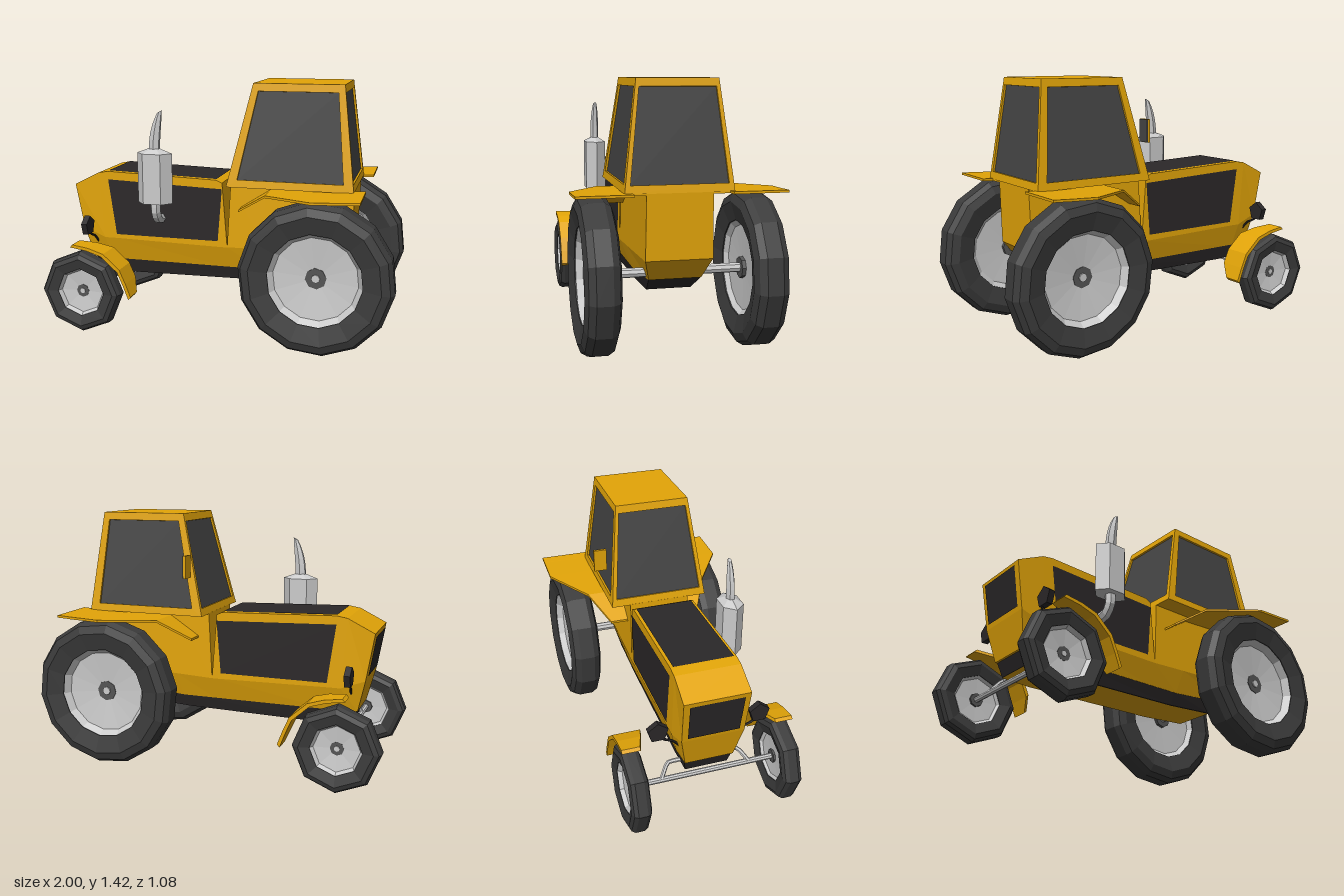
import * as THREE from 'three';

const mat = (color) => new THREE.MeshStandardMaterial({ color, flatShading: true });
const yellow = mat(0xe3a508), black = mat(0x2b2829), glass = mat(0x454545);
const rubber = mat(0x3b3b3b), grey = mat(0xcccccc), hubGrey = mat(0x555555);
const V = (x, y, z) => new THREE.Vector3(x, y, z);

function add(parent, name, geometry, material, x = 0, y = 0, z = 0) {
  const mesh = new THREE.Mesh(geometry, material);
  mesh.name = name;
  mesh.position.set(x, y, z);
  parent.add(mesh);
  return mesh;
}

// Flat-faced geometry from polygons listed counter-clockwise
function polygons(faces) {
  const points = [];
  for (const f of faces) {
    for (let i = 1; i < f.length - 1; i++) points.push(f[0], f[i], f[i + 1]);
  }
  const g = new THREE.BufferGeometry().setFromPoints(points);
  g.computeVertexNormals();
  return g;
}

// Skin over rings that follow +x, each ring counter-clockwise seen from +x
function loft(rings) {
  const faces = [], first = rings[0], last = rings[rings.length - 1], n = first.length;
  for (let i = 0; i < n / 2 - 1; i++) {
    faces.push([first[n - 1 - i], first[n - 2 - i], first[i + 1], first[i]]);
    faces.push([last[i], last[i + 1], last[n - 2 - i], last[n - 1 - i]]);
  }
  for (let k = 0; k < rings.length - 1; k++) {
    const a = rings[k], b = rings[k + 1];
    a.forEach((p, i) => {
      const j = (i + 1) % n;
      faces.push([p, a[j], b[j], b[i]]);
    });
  }
  return polygons(faces);
}

// Symmetric ring from the [x, y, z] points of its +z half, top to bottom
const mirrored = (half) => [
  ...half.map((p) => V(...p)),
  ...[...half].reverse().map(([x, y, z]) => V(x, y, -z)),
];

// Smaller quad within a quad (corners: bottom left, bottom right, top right, top left)
function inset([a, b, c, d], u, v) {
  const at = (s, t) => a.clone().lerp(b, s).lerp(d.clone().lerp(c, s), t);
  return [at(u, v), at(1 - u, v), at(1 - u, 1 - v), at(u, 1 - v)];
}

const tube = (pts, r, sides = 6) => new THREE.TubeGeometry(
  new THREE.CatmullRomCurve3(pts.map((p) => V(...p)), false, 'catmullrom', 0.2), 8, r, sides);

const lathe = (pts, sides) => new THREE.LatheGeometry(
  pts.map(([r, y]) => new THREE.Vector2(r, y)), sides).rotateX(Math.PI / 2);

// Wheel with its outer face, a deeply recessed disc, towards +z
function makeWheel(name, R, rim, w, nub, sides) {
  const wheel = new THREE.Group();
  wheel.name = name;
  const wall = rim + (R - rim) * 0.6, shoulder = R - (R - rim) * 0.13;
  add(wheel, 'tyre', lathe([
    [rim, -w * 0.72], [wall, -w], [shoulder, -w * 0.82], [R, -w * 0.45], [R, w * 0.45],
    [shoulder, w * 0.82], [wall, w], [rim, w * 0.72], [rim, -w * 0.72],
  ], sides), rubber);
  add(wheel, 'rim', lathe([
    [0, -w * 0.3], [rim * 0.9, -w * 0.4], [rim, -w * 0.65],
    [rim, w * 0.65], [rim * 0.9, w * 0.25], [0, 0],
  ], sides), grey);
  const disc = (r, z0, z1) => new THREE.CylinderGeometry(r, r, z1 - z0, 8)
    .rotateX(Math.PI / 2).translate(0, 0, (z0 + z1) / 2);
  add(wheel, 'hub', disc(nub, -w * 0.55, w * 0.1), hubGrey);
  add(wheel, 'hubCap', disc(nub * 0.4, -w * 0.65, w * 0.18), grey);
  return wheel;
}

function makeCab() {
  const cab = new THREE.Group();
  cab.name = 'cab';
  const rect = (x0, x1, y, z) => [V(x0, y, z), V(x1, y, z), V(x1, y, -z), V(x0, y, -z)];
  const base = rect(0.05, 0.75, 0.865, 0.283), roof = rect(0.185, 0.68, 1.43, 0.212);
  const frame = [roof, [...base].reverse()], panes = [];
  for (let i = 0; i < 4; i++) {
    const j = (i + 1) % 4;
    const outer = [base[i], base[j], roof[j], roof[i]];
    const hole = inset(outer, i % 2 ? 0.045 : 0.075, 0.075);
    const normal = outer[1].clone().sub(outer[0]).cross(outer[3].clone().sub(outer[0])).normalize();
    const pane = hole.map((p) => p.clone().addScaledVector(normal, -0.012));
    for (let k = 0; k < 4; k++) {
      const m = (k + 1) % 4;
      frame.push([outer[k], outer[m], hole[m], hole[k]], [hole[k], hole[m], pane[m], pane[k]]);
    }
    panes.push(pane);
  }
  add(cab, 'cabFrame', polygons(frame), yellow);
  add(cab, 'windows', polygons(panes), glass);
  return cab;
}

// Exhaust stack that narrows and bends backwards towards its tip
function makeStack() {
  const height = 0.225, g = new THREE.CylinderGeometry(1, 1, height, 6, 6);
  const p = g.attributes.position;
  for (let i = 0; i < p.count; i++) {
    const t = p.getY(i) / height + 0.5, r = 0.033 - 0.019 * t ** 3;
    p.setXYZ(i, p.getX(i) * r + 0.034 * t * t, p.getY(i) + p.getX(i) * 0.008 * t, p.getZ(i) * r * 0.75);
  }
  return g;
}

// Bent sheet from [x, y, inner z, outer z] stations
const sheet = (stations, dx, dy) => loft(stations.map(([x, y, zi, zo]) => [
  V(x, y, zo), V(x - dx, y - dy, zo), V(x - dx, y - dy, zi), V(x, y, zi),
]));

export function createModel() {
  const model = new THREE.Group();
  model.name = 'tractor';
  const body = new THREE.Group();
  body.name = 'body';
  body.position.z = 0.007;
  model.add(body);

  // Hood and rear body
  add(body, 'hood', loft([
    [[-0.9, 0.815, 0.18], [-0.855, 0.55, 0.172], [-0.81, 0.365, 0.135]],
    [[-0.75, 0.89, 0.18], [-0.72, 0.5, 0.18], [-0.7, 0.365, 0.145]],
    [[-0.69, 0.9, 0.18], [-0.65, 0.5, 0.18], [-0.63, 0.365, 0.145]],
    [[-0.035, 0.88, 0.18], [-0.01, 0.49, 0.18], [0, 0.365, 0.145]],
    [[0, 0.865, 0.18], [0.03, 0.49, 0.18], [0.03, 0.365, 0.145]],
  ].map(mirrored)), yellow);
  add(body, 'rearBody', loft([
    [[0.05, 0.868, 0.175], [0.03, 0.49, 0.18], [0.03, 0.365, 0.145]],
    [[0.25, 0.868, 0.175], [0.25, 0.5, 0.18], [0.22, 0.365, 0.145]],
    [[0.745, 0.868, 0.172], [0.735, 0.52, 0.176], [0.64, 0.4, 0.14]],
  ].map(mirrored)), yellow);
  add(body, 'chassis', loft([
    [[-0.8, 0.37, 0.135], [-0.77, 0.287, 0.12]],
    [[-0.6, 0.37, 0.145], [-0.6, 0.28, 0.122]],
    [[0.2, 0.37, 0.145], [0.2, 0.293, 0.122]],
    [[0.638, 0.402, 0.14], [0.5, 0.312, 0.122]],
  ].map(mirrored)), black);

  // Belly plate under the chassis
  const belly = [[-0.77, 0.285], [-0.6, 0.277], [0.2, 0.29], [0.5, 0.309]];
  add(body, 'bellyPlate', polygons(belly.slice(1).map(([x, y], i) => {
    const [x0, y0] = belly[i];
    return [V(x0, y0, 0.122), V(x0, y0, -0.122), V(x, y, -0.122), V(x, y, 0.122)];
  })), yellow);

  // Black panels on the hood
  const side = [V(-0.645, 0.525, 0.184), V(-0.025, 0.525, 0.184), V(0, 0.83, 0.184), V(-0.69, 0.853, 0.184)];
  const otherSide = side.map((p) => V(p.x, p.y, -p.z)).reverse();
  const top = [V(-0.69, 0.904, 0.165), V(-0.035, 0.884, 0.165), V(-0.035, 0.884, -0.165), V(-0.69, 0.904, -0.165)];
  const nose = [V(-0.86, 0.55, -0.172), V(-0.86, 0.55, 0.172), V(-0.905, 0.815, 0.18), V(-0.905, 0.815, -0.18)];
  add(body, 'hoodPanels', polygons([side, otherSide, top, inset(nose, 0.09, 0.08)]), black);

  body.add(makeCab());

  // Side mirror
  add(body, 'mirrorBack', new THREE.BoxGeometry(0.014, 0.125, 0.072), yellow, 0.116, 1.147, -0.329);
  add(body, 'mirrorGlass', new THREE.BoxGeometry(0.006, 0.122, 0.07), glass, 0.125, 1.147, -0.329);

  // Exhaust
  const ex = -0.367, ez = 0.268;
  const muffler = (rt, rb, h) => new THREE.CylinderGeometry(rt, rb, h, 6, 1, false, Math.PI / 2).scale(1, 1, 0.66);
  add(body, 'muffler', muffler(0.103, 0.103, 0.285), grey, ex, 0.893, ez);
  add(body, 'mufflerTop', muffler(0.035, 0.103, 0.025), grey, ex, 1.048, ez);
  add(body, 'exhaustStack', makeStack(), grey, ex, 1.155, ez);
  add(body, 'exhaustInlet', tube([[ex, 0.78, ez], [ex, 0.7, ez], [ex, 0.655, 0.24], [ex, 0.635, 0.16]], 0.03), grey);

  // Axles
  add(body, 'rearAxle', new THREE.CylinderGeometry(0.026, 0.026, 0.78, 8).rotateX(Math.PI / 2), grey, 0.58, 0.428, 0);
  add(body, 'frontAxle', new THREE.CylinderGeometry(0.016, 0.016, 0.81, 8).rotateX(Math.PI / 2), grey, -0.763, 0.243, 0);

  // Paired parts, built on the +z side and mirrored
  for (const s of [1, -1]) {
    const half = new THREE.Group();
    half.name = s > 0 ? 'leftRunningGear' : 'rightRunningGear';
    half.scale.z = s;
    body.add(half);

    const rear = makeWheel('rearWheel', 0.42, 0.255, 0.0915, 0.058, 14);
    rear.position.set(0.58, 0.427, 0.419);
    rear.rotation.z = Math.PI / 28;
    const front = makeWheel('frontWheel', 0.238, 0.14, 0.055, 0.038, 8);
    front.position.set(-0.763, 0.243, 0.419);
    half.add(rear, front);

    // Pentagonal headlamp on a curved stem
    add(half, 'headlamp', new THREE.CylinderGeometry(0.058, 0.058, 0.034, 5)
      .rotateX(-Math.PI / 2).rotateY(Math.PI / 2), black, -0.785, 0.593, 0.28);
    add(half, 'headlampStem', tube([[-0.785, 0.55, 0.265], [-0.785, 0.53, 0.235], [-0.78, 0.51, 0.195], [-0.775, 0.46, 0.15]], 0.007), black);
    add(half, 'axleStrut', tube([[-0.765, 0.25, 0.25], [-0.725, 0.3, 0.212], [-0.71, 0.31, 0.19], [-0.71, 0.31, 0.1]], 0.012), grey);

    // Fenders
    add(half, 'frontFender', sheet([
      [-0.795, 0.527, 0.375, 0.474], [-0.7, 0.513, 0.345, 0.474], [-0.61, 0.485, 0.32, 0.474],
      [-0.515, 0.4, 0.32, 0.474], [-0.48, 0.32, 0.32, 0.474], [-0.452, 0.245, 0.375, 0.474],
    ], 0.014, 0.016), yellow);
    const rearFender = add(model, 'rearFender', sheet([
      [0.115, 0.735, 0.165, 0.27], [0.285, 0.845, 0.165, 0.365], [0.56, 0.86, 0.165, 0.541],
      [0.74, 0.868, 0.165, 0.541], [0.75, 0.869, 0.25, 0.541], [0.81, 0.872, 0.25, 0.541],
    ], 0, 0.013), yellow);
    rearFender.scale.z = s;
  }
  return model;
}
